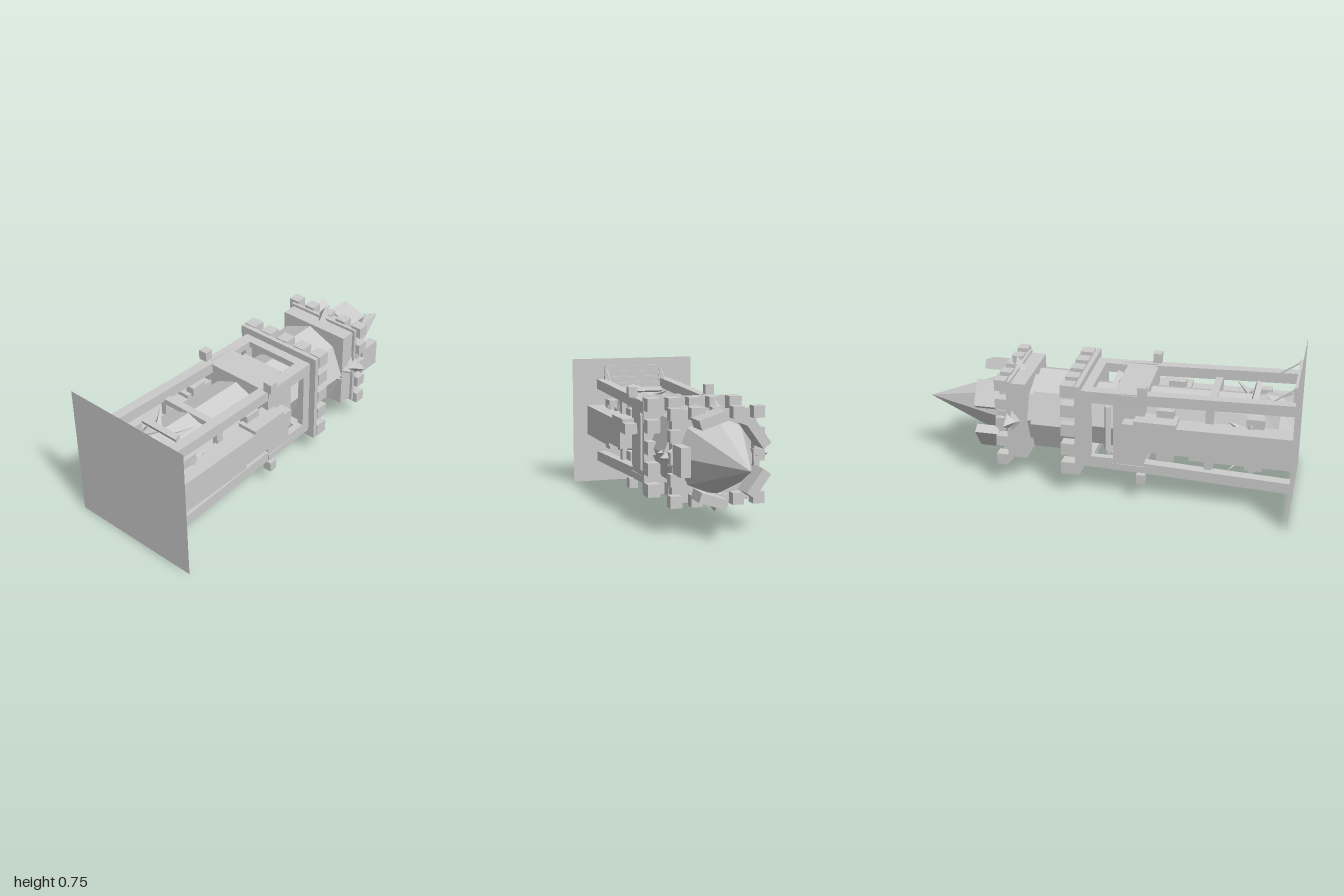
import * as THREE from 'three';

const mat = new THREE.MeshStandardMaterial({ color: 0xcccccc, flatShading: true, side: THREE.DoubleSide });

export function createModel() {
  const model = new THREE.Group();
  model.name = 'castleTower';
  // The tower lies along z: base at z = 1, spire tip at z = -1
  const tower = new THREE.Group();
  tower.name = 'tower';
  tower.position.y = 0.373;
  model.add(tower);

  const add = (name, geo, parent = tower) => {
    const m = new THREE.Mesh(geo, mat);
    m.name = name;
    parent.add(m);
    return m;
  };
  const box = (name, w, h, d, x, y, z, parent) => {
    const m = add(name, new THREE.BoxGeometry(w, h, d), parent);
    m.position.set(x, y, z);
    return m;
  };
  // Prism along z with a corner pointing up; r0 at z0 (base side), r1 at z1 (tip side)
  const prism = (name, r0, r1, z0, z1, sides = 8) =>
    add(name, new THREE.CylinderGeometry(r1, r0, z0 - z1, sides).rotateX(-Math.PI / 2).translate(0, 0, (z0 + z1) / 2));
  // Four copies about the tower axis
  const fourSides = (name, build) => {
    for (let k = 0; k < 4; k++) {
      const g = new THREE.Group();
      g.name = name;
      g.rotation.z = k * Math.PI / 2;
      tower.add(g);
      build(g);
    }
  };
  const corners = [[1, 1], [1, -1], [-1, -1], [-1, 1]];

  // Ground sheet
  add('groundSheet', new THREE.PlaneGeometry(0.745, 0.745).translate(0, 0, 1));

  // Octagonal core and drum
  prism('core', 0.19, 0.175, 0.76, -0.1);
  prism('drum', 0.225, 0.225, -0.1, -0.37);
  prism('drumNeck', 0.185, 0.185, -0.37, -0.41);

  // Rough rock foot: ring cross-sections with uneven radius
  const rock = new THREE.CylinderGeometry(0.18, 0.22, 0.34, 10, 4).rotateX(-Math.PI / 2).translate(0, 0, 0.83);
  const p = rock.attributes.position;
  for (let i = 0; i < p.count; i++) {
    const a = Math.atan2(p.getY(i), p.getX(i)), z = p.getZ(i);
    const s = 1 + 0.08 * Math.sin(Math.round(a * 10 / Math.PI) * 2.3 + z * 40);
    p.setXY(i, p.getX(i) * s * 0.9, p.getY(i) * s * 0.94);
  }
  add('rockFoot', rock);

  // Small ledges and slanted horns over the rock foot
  fourSides('footLedge', g => {
    box('ledge', 0.23, 0.025, 0.03, 0, 0.2, 0.78, g).rotation.x = 0.4;
    for (const s of [-1, 1]) {
      const horn = add('horn', new THREE.ConeGeometry(0.02, 0.11, 4), g);
      horn.position.set(s * 0.09, 0.185, 0.7);
      horn.rotation.set(-1.1, 0, -s * 0.6);
    }
  });

  // Corner beams, leaning slightly inward
  for (const [sx, sy] of corners) {
    const g = new THREE.BoxGeometry(0.055, 0.058, 0.78);
    const q = g.attributes.position;
    for (let i = 0; i < q.count; i++) {
      const foot = q.getZ(i) > 0;
      q.setX(i, q.getX(i) + sx * (foot ? 0.197 : 0.19));
      q.setY(i, q.getY(i) + sy * (foot ? 0.22 : 0.195));
    }
    add('cornerBeam', g.translate(0, 0, 0.61));
    box('cornerPeg', 0.05, 0.055, 0.045, sx * 0.22, sy * 0.25, 0.222);
  }

  // Cross bars tying the beams together
  fourSides('crossBar', g => box('bar', 0.36, 0.03, 0.04, 0, 0.175, 0.565, g));

  // Stepped buttresses on both flanks
  const step = new THREE.Shape([
    [1, -0.083], [0.48, -0.083], [0.48, -0.063], [0.24, -0.063], [0.24, 0.03], [0.13, 0.03],
    [0.13, 0.087], [0.19, 0.087], [0.19, 0.107], [0.41, 0.107], [0.41, 0.087], [1, 0.092],
  ].map(([z, y]) => new THREE.Vector2(z, y)));
  for (const s of [-1, 1]) {
    const geo = new THREE.ExtrudeGeometry(step, { depth: 0.11, bevelEnabled: false });
    geo.rotateY(-Math.PI / 2).translate(s > 0 ? 0.285 : -0.175, 0, 0);
    add('buttress', geo);
    for (const y of [-0.12, 0.12])
      for (const z of [0.34, 0.8]) box('buttressBlock', 0.05, 0.05, 0.09, s * 0.185, y, z);
  }

  // Square collar with a window on each side
  const panel = new THREE.Shape();
  panel.moveTo(-0.225, 0.235).lineTo(0.225, 0.235).lineTo(0.215, -0.1).lineTo(-0.215, -0.1);
  const hole = new THREE.Path();
  hole.moveTo(-0.155, 0.07).lineTo(-0.155, -0.05).lineTo(0.155, -0.05).lineTo(0.155, 0.07);
  panel.holes.push(hole);
  fourSides('collarSide', g => {
    const geo = new THREE.ExtrudeGeometry(panel, { depth: 0.035, bevelEnabled: false });
    add('collarPanel', geo.rotateX(Math.PI / 2).translate(0, 0.218, 0), g);
    const sill = box('windowSill', 0.25, 0.02, 0.03, 0, 0.18, 0.035, g);
    sill.rotation.x = 0.4;
  });
  box('collarFloor', 0.42, 0.42, 0.13, 0, 0, 0.167);

  // Lower and upper galleries with battlements
  box('lowerGallery', 0.51, 0.51, 0.025, 0, 0, -0.112);
  prism('upperGalleryFlare', 0.19, 0.235, -0.4, -0.49);
  box('upperGallery', 0.41, 0.43, 0.08, 0, 0, -0.44);
  box('upperGalleryRim', 0.44, 0.46, 0.02, 0, 0, -0.49);
  const battlement = (name, r, size, depth, z) => fourSides(name, g => {
    for (let i = 0; i < 4; i++) box('merlon', size, size, depth, (i / 2 - 1) * r, r, z, g);
  });
  battlement('lowerBattlement', 0.222, 0.068, 0.07, -0.165);
  battlement('upperBattlement', 0.215, 0.06, 0.06, -0.525);

  // Outward spikes on the upper gallery
  fourSides('gallerySpike', g => {
    const spike = add('spike', new THREE.ConeGeometry(0.06, 0.085, 4), g);
    spike.position.set(0, 0.242, -0.5);
    box('spikeBase', 0.12, 0.03, 0.04, 0, 0.205, -0.53, g);
  });
  for (const z of [-0.34, -0.43]) {
    const thorn = add('sideThorn', new THREE.ConeGeometry(0.025, 0.05, 4), tower);
    thorn.rotation.z = -Math.PI / 2;
    thorn.position.set(0.225, 0, z);
  }

  // Five slabs circling the spire
  for (let i = 0; i < 5; i++) {
    const g = new THREE.Group();
    g.name = 'spireSlab';
    g.rotation.z = i * Math.PI * 2 / 5;
    tower.add(g);
    box('slab', 0.05, 0.145, 0.13, 0.207, 0, -0.612, g);
  }

  // Spire
  add('spire', new THREE.ConeGeometry(0.2, 0.5, 8).rotateX(-Math.PI / 2).translate(0, 0, -0.75));

  // Gate frame at the foot with its two stays
  for (const y of [0.215, 0.25, 0.285, 0.317]) box('gateRail', 0.35, 0.022, 0.014, 0, y, 0.988);
  for (const s of [-1, 1]) {
    box('gatePost', 0.02, 0.13, 0.018, s * 0.17, 0.263, 0.987);
    const stay = new THREE.LineCurve3(new THREE.Vector3(s * 0.17, 0.315, 0.985), new THREE.Vector3(s * 0.17, 0.24, 0.88));
    add('gateStay', new THREE.TubeGeometry(stay, 1, 0.005, 5));
  }
  return model;
}
